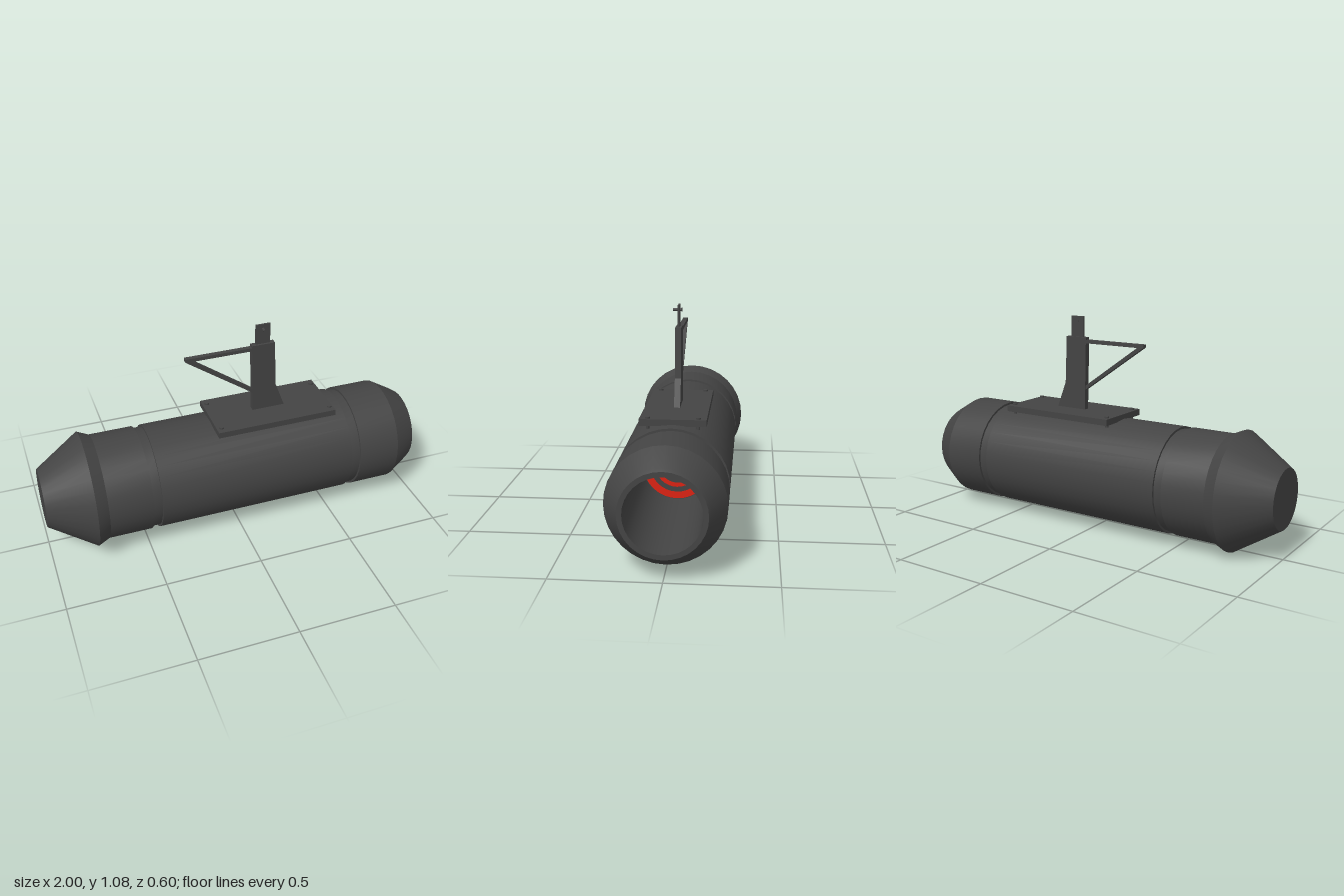
import * as THREE from 'three';
import { toCreasedNormals } from 'three/addons/utils/BufferGeometryUtils.js';

const AXIS_Y = 0.3;
const dark = new THREE.MeshStandardMaterial({ color: 0x444444 });
const red = new THREE.MeshStandardMaterial({ color: 0xdd2211 });

export function createModel() {
  const model = new THREE.Group();

  const add = (name, geometry, x = 0, y = 0, z = 0, material = dark) => {
    const mesh = new THREE.Mesh(geometry, material);
    mesh.name = name;
    mesh.position.set(x, y, z);
    model.add(mesh);
    return mesh;
  };

  // Flat outline in x/y, extruded evenly about z = 0
  const slab = (points, thickness, hole) => {
    const shape = new THREE.Shape(points.map(p => new THREE.Vector2(...p)));
    if (hole) shape.holes.push(hole);
    return new THREE.ExtrudeGeometry(shape, { depth: thickness, bevelEnabled: false, curveSegments: 12 })
      .translate(0, 0, -thickness / 2);
  };

  // Housing: closed tapered rear, two grooves, open bore at +x (radius, x)
  const bodyProfile = [
    [0, -1], [0.15, -1], [0.298, -0.77], [0.271, -0.71],
    [0.271, -0.485], [0.26, -0.485], [0.26, -0.44], [0.271, -0.44],
    [0.271, 0.6], [0.26, 0.6], [0.26, 0.65], [0.271, 0.65],
    [0.271, 0.87], [0.205, 0.985], [0.195, 1], [0.172, 1],
    [0.172, 0.3], [0, 0.3],
  ].map(p => new THREE.Vector2(...p));
  const body = new THREE.LatheGeometry(bodyProfile, 32).rotateZ(-Math.PI / 2);
  add('housing', toCreasedNormals(body, 0.35), 0, AXIS_Y);

  // Red rings at the bottom of the bore
  for (const [inner, outer] of [[0.133, 0.168], [0.086, 0.108]]) {
    add('boreRing', new THREE.RingGeometry(inner, outer, 32).rotateY(Math.PI / 2), 0.304, AXIS_Y, 0, red);
  }

  // Mounting plate and its corner bolts
  add('mountingPlate', new THREE.BoxGeometry(0.64, 0.032, 0.314), 0.215, 0.579);
  for (const x of [-0.08, 0.515]) {
    for (const z of [-0.118, 0.118]) {
      add('boltHead', new THREE.CylinderGeometry(0.012, 0.012, 0.008, 12), x, 0.599, z);
      add('boltShank', new THREE.CylinderGeometry(0.008, 0.008, 0.05, 12), x, 0.571, z);
    }
  }

  // Post with a flared foot
  add('post', slab([[0.127, 0.59], [0.303, 0.59], [0.25, 0.73], [0.24, 0.975], [0.118, 0.975]], 0.03));

  // Triangular brace
  const opening = new THREE.Path([[-0.19, 0.945], [0.13, 0.945], [0.13, 0.718]]
    .map(p => new THREE.Vector2(...p)));
  add('brace', slab([[-0.227, 0.963], [-0.227, 0.947], [0.14, 0.69], [0.14, 0.963]], 0.024, opening));

  // Thin top tab and the pin through it
  add('topTab', slab([[0.14, 0.96], [0.217, 0.96], [0.217, 1.082], [0.14, 1.082]], 0.009));
  const across = g => g.rotateX(Math.PI / 2);
  add('pin', across(new THREE.CylinderGeometry(0.007, 0.007, 0.042, 12)), 0.178, 1.057, 0.009);
  add('pinHead', across(new THREE.CylinderGeometry(0.006, 0.011, 0.006, 12)), 0.178, 1.057, -0.012);

  return model;
}
